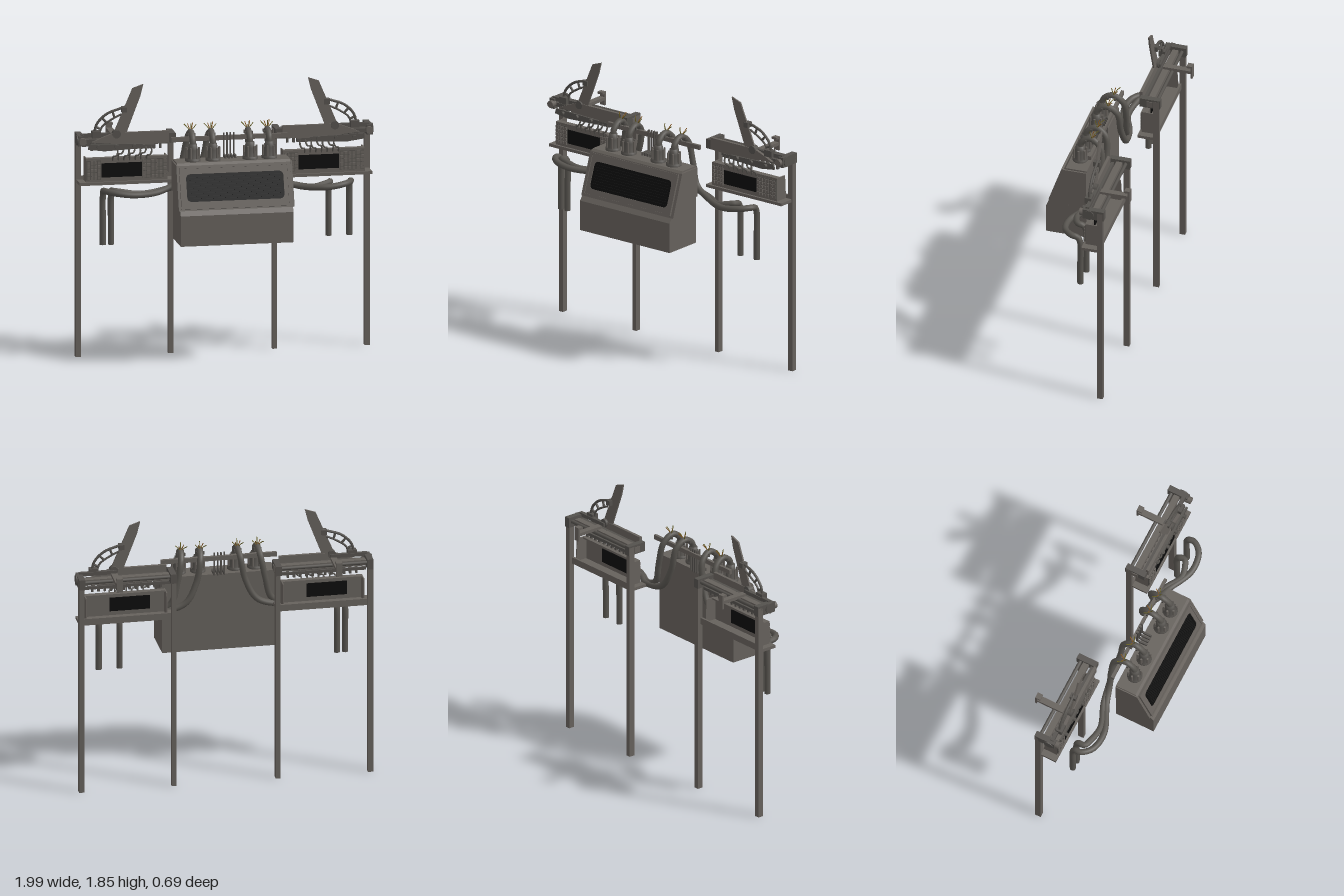
import * as THREE from 'three';

const mat = (name, color) => Object.assign(new THREE.MeshStandardMaterial({ color }), { name });

export function createModel() {
  const root = new THREE.Group();
  root.name = 'controlStation';
  const metal = mat('warm grey metal', 0x66615c);
  const dark = mat('dark grey metal', 0x54514d);
  const hoseMat = mat('hose grey', 0x585550);
  const black = mat('black screen', 0x0c0c0c);
  const grille = mat('charcoal grille', 0x1b1b1b);
  const copper = mat('copper wire', 0x8a5a22);
  const olive = mat('olive wire', 0x6b6428);

  const add = (parent, name, geo, m) => {
    const mesh = new THREE.Mesh(geo, m);
    mesh.name = name;
    parent.add(mesh);
    return mesh;
  };
  const group = (parent, name) => {
    const g = new THREE.Group();
    g.name = name;
    parent.add(g);
    return g;
  };
  // box given by its limits on each axis
  const box = (parent, name, m, x0, x1, y0, y1, z0, z1) => {
    const mesh = add(parent, name, new THREE.BoxGeometry(Math.abs(x1 - x0), y1 - y0, z1 - z0), m);
    mesh.position.set((x0 + x1) / 2, (y0 + y1) / 2, (z0 + z1) / 2);
    return mesh;
  };
  const tube = (parent, name, m, pts, r, seg = 24, sides = 8) => {
    const curve = new THREE.CatmullRomCurve3(pts.map(p => new THREE.Vector3(...p)));
    return add(parent, name, new THREE.TubeGeometry(curve, seg, r, sides), m);
  };
  const rod = (parent, name, m, r, len, x, y, z, axis) => {
    const c = add(parent, name, new THREE.CylinderGeometry(r, r, len, 14), m);
    if (axis === 'x') c.rotation.z = Math.PI / 2;
    if (axis === 'z') c.rotation.x = Math.PI / 2;
    c.position.set(x, y, z);
    return c;
  };
  const shapeOf = pts => new THREE.Shape(pts.map(p => new THREE.Vector2(...p)));
  const flat = depth => ({ depth, bevelEnabled: false, curveSegments: 6 });
  // side profile of [z, y] points, stretched along x
  const profileX = (parent, name, m, pts, x0, x1) => {
    const geo = new THREE.ExtrudeGeometry(shapeOf(pts), flat(x1 - x0));
    geo.rotateY(-Math.PI / 2).translate(x1, 0, 0);
    return add(parent, name, geo, m);
  };
  const rounded = (C, w, h, r) => {
    const s = new C(), x = w / 2, y = h / 2;
    s.absarc(x - r, y - r, r, 0, Math.PI / 2);
    s.absarc(r - x, y - r, r, Math.PI / 2, Math.PI);
    s.absarc(r - x, r - y, r, Math.PI, Math.PI * 1.5);
    s.absarc(x - r, r - y, r, Math.PI * 1.5, Math.PI * 2);
    return s;
  };

  // central console
  const con = group(root, 'console');
  profileX(con, 'consoleBody', metal, [[0.065, 0.835], [0.345, 0.835], [0.345, 1.04], [0.322, 1.07],
    [0.225, 1.355], [0.21, 1.37], [0.065, 1.37]], -0.385, 0.375);
  const shell = [[0.322, 1.07], [0.225, 1.36], [0.065, 1.36], [0.065, 1.16], [0.155, 1.16], [0.185, 1.09], [0.19, 1.07]];
  profileX(con, 'sideShell', metal, shell, -0.393, -0.384);
  profileX(con, 'sideShell', metal, shell, 0.374, 0.386);
  // sloping display
  const display = group(con, 'display');
  display.position.set(-0.006, 1.213, 0.2735);
  display.rotation.x = -0.328;
  const rim = rounded(THREE.Shape, 0.71, 0.26, 0.005);
  rim.holes.push(rounded(THREE.Path, 0.655, 0.185, 0.03));
  add(display, 'displayFrame', new THREE.ExtrudeGeometry(rim, flat(0.009)), metal);
  const edge = rounded(THREE.Shape, 0.74, 0.285, 0.005);
  edge.holes.push(rounded(THREE.Path, 0.71, 0.26, 0.005));
  add(display, 'displayEdge', new THREE.ExtrudeGeometry(edge, flat(0.014)), metal);
  add(display, 'screen', new THREE.ExtrudeGeometry(rounded(THREE.Shape, 0.655, 0.185, 0.03), flat(0.004)), black);
  for (let i = -4; i <= 4; i++) box(display, 'screenSlat', grille, -0.31, 0.31, i * 0.018 - 0.001, i * 0.018 + 0.001, 0.003, 0.006);

  // rear cross rail and centre posts
  box(root, 'rearRail', metal, -0.39, 0.39, 1.48, 1.51, 0.03, 0.05);
  for (const x of [-0.04, -0.017, 0.005, 0.028]) {
    box(root, 'centrePost', dark, x - 0.004, x + 0.004, 1.37, 1.53, 0.04, 0.055);
    box(root, 'postFoot', dark, x - 0.006, x + 0.006, 1.37, 1.39, 0.055, 0.12);
  }

  // hose: connector x, end x, forward bulge
  const hose = (a, e, bulge) => {
    const s = Math.sign(a), far = Math.abs(a) > 0.2;
    const at = t => s * 0.45 + (e - s * 0.45) * t;
    const g = group(root, 'hoseAssembly');
    const socket = new THREE.LatheGeometry([[0.052, 0], [0.052, 0.018], [0.04, 0.022], [0.036, 0.075],
      [0.03, 0.08], [0.028, 0.115], [0, 0.115]].map(p => new THREE.Vector2(...p)), 16);
    add(g, 'hoseSocket', socket, dark).position.set(a, 1.368, 0.145);
    for (let i = 0; i < 6; i++) {
      const w = i / 6 * Math.PI * 2;
      rod(g, 'socketClamp', metal, 0.007, 0.09, a + 0.042 * Math.cos(w), 1.415, 0.145 + 0.042 * Math.sin(w));
    }
    tube(g, 'hose', hoseMat, [[a, 1.45, 0.145], [a, 1.51, 0.135], [a, 1.55, 0.075], [a + s * 0.01, 1.5, 0.005],
      [a + s * 0.04, 1.35, -0.01], [a + s * (far ? 0.08 : 0.12), 1.21, far ? 0 : -0.02],
      [s * 0.45, 1.15, far ? 0.03 : 0.01], [at(0.5), 1.145, bulge], [at(0.85), 1.16, bulge - 0.015],
      [e, 1.165, 0.035], [e, 1.155, -0.005], [e, 1.11, -0.022], [e, 0.95, -0.022], [e, 0.79, -0.022]], 0.021, 90, 10);
    for (const z of [0.1, 0.05]) box(g, 'hoseClip', dark, a - 0.026, a + 0.026, 1.525, 1.545, z - 0.006, z + 0.006);
    // frayed wires on the crest
    for (let i = 0; i < 5; i++) {
      const d = (i - 2) * 0.012;
      tube(g, 'looseWire', i % 2 ? copper : olive, [[a + d * 0.3, 1.56, 0.06], [a + d, 1.58, 0.05 + (i % 3) * 0.012],
        [a + d * 1.6, 1.61 - Math.abs(d) * 0.6, 0.03 + (i % 3) * 0.025]], 0.003, 5, 5);
    }
  };
  hose(-0.265, -0.84, 0.11);
  hose(-0.13, -0.785, 0.07);
  hose(0.12, 0.68, 0.07);
  hose(0.25, 0.82, 0.11);

  // keypad panel, open at the back; pads and screen measured from its left edge
  const keypad = (g, x0, x1, cols) => {
    const w = (x1 - x0) / cols;
    box(g, 'keypadBase', dark, x0, x1, 1.215, 1.345, -0.09, -0.086);
    for (let c = 0; c < cols; c++) for (let r = 0; r < 5; r++)
      box(g, 'key', metal, x0 + c * w + 0.003, x0 + (c + 1) * w - 0.003, 1.218 + r * 0.0255, 1.238 + r * 0.0255, -0.087, -0.079);
  };
  const panel = x => {
    const g = group(root, 'keypadPanel');
    box(g, 'panelFace', metal, x, x + 0.55, 1.2, 1.36, -0.1, -0.09);
    box(g, 'panelTop', metal, x, x + 0.55, 1.35, 1.36, -0.13, -0.1);
    for (const e of [x, x + 0.542])
      profileX(g, 'panelCheek', metal, [[-0.185, 1.2], [-0.1, 1.2], [-0.1, 1.36], [-0.175, 1.36]], e, e + 0.008);
    box(g, 'panelScreen', black, x + 0.105, x + 0.375, 1.23, 1.325, -0.09, -0.083);
    box(g, 'panelScreenBack', black, x + 0.105, x + 0.375, 1.23, 1.325, -0.106, -0.1);
    keypad(g, x + 0.005, x + 0.1, 4);
    keypad(g, x + 0.38, x + 0.545, 6);
  };
  panel(-0.94);
  panel(0.387);

  // mirrored side frames
  for (const s of [-1, 1]) {
    const g = group(root, s > 0 ? 'leftFrame' : 'rightFrame');
    const b = (name, m, x0, x1, ...r) => box(g, name, m, s * x0, s * x1, ...r);
    const plate = (name, m, pts, z, d) =>
      add(g, name, new THREE.ExtrudeGeometry(shapeOf(pts.map(p => [s * p[0], p[1]])), flat(d)), m).position.set(0, 0, z);
    const pipe = (name, m, pts, r) => tube(g, name, m, pts.map(p => [s * p[0], p[1], p[2]]), r, 16, 7);
    b('outerLeg', metal, 0.955, 0.99, 0, 1.5, -0.225, -0.185);
    b('innerLeg', metal, 0.334, 0.366, 0, 1.5, -0.225, -0.185);
    b('shelf', metal, 0.345, 0.985, 1.18, 1.2, -0.188, -0.075);
    b('shelfLip', metal, 0.366, 0.955, 1.18, 1.225, -0.2, -0.186);
    b('topRail', metal, 0.33, 0.985, 1.455, 1.495, -0.182, -0.14);
    b('frontRail', dark, 0.36, 0.97, 1.46, 1.485, -0.125, -0.105);
    rod(g, 'rearRod', dark, 0.012, 0.6, s * 0.66, 1.485, -0.203, 'x');
    b('rearStrip', dark, 0.37, 0.95, 1.425, 1.445, -0.18, -0.165);
    // end fittings
    b('endBlock', dark, 0.95, 0.99, 1.445, 1.515, -0.232, -0.085);
    b('innerEndBlock', dark, 0.335, 0.375, 1.445, 1.51, -0.232, -0.09);
    rod(g, 'endKnob', dark, 0.035, 0.03, s * 0.982, 1.48, -0.13, 'x');
    rod(g, 'endHub', metal, 0.024, 0.04, s * 0.965, 1.48, -0.08, 'z');
    // swing arm plates
    plate('armPlate', metal, [[0.38, 1.53], [0.75, 1.53], [0.83, 1.5], [0.9, 1.47], [0.6, 1.44], [0.38, 1.45]], -0.1, 0.02);
    plate('lowerLink', dark, [[0.56, 1.45], [0.92, 1.46], [0.93, 1.425], [0.82, 1.41], [0.58, 1.42]], -0.08, 0.012);
    b('topStrip', dark, 0.72, 0.97, 1.5, 1.525, -0.125, -0.1);
    for (const x of [0.62, 0.74, 0.86]) rod(g, 'linkPin', dark, 0.013, 0.03, s * x, 1.44, -0.065, 'z');
    rod(g, 'flapPivot', dark, 0.028, 0.04, s * 0.735, 1.52, -0.095, 'z');
    // raised flap and its curved stays
    plate('flap', metal, [[0.757, 1.52], [0.67, 1.52], [0.575, 1.77], [0.555, 1.85], [0.627, 1.825]], -0.097, 0.011);
    pipe('upperStay', dark, [[0.885, 1.51, -0.1], [0.865, 1.59, -0.1], [0.8, 1.655, -0.1], [0.72, 1.685, -0.1], [0.67, 1.7, -0.1]], 0.009);
    pipe('lowerStay', dark, [[0.85, 1.51, -0.1], [0.83, 1.57, -0.1], [0.77, 1.615, -0.1], [0.7, 1.65, -0.1]], 0.007);
    for (const p of [[0.872, 1.57, 0.837, 1.555], [0.83, 1.63, 0.8, 1.597], [0.76, 1.672, 0.745, 1.63]])
      pipe('stayLink', dark, [[p[0], p[1], -0.1], [p[2], p[3], -0.1]], 0.008);
    b('stayBracket', dark, 0.665, 0.7, 1.665, 1.7, -0.12, -0.075);
    b('stayFoot', dark, 0.84, 0.9, 1.5, 1.545, -0.12, -0.075);
    // small looped cables above the keypad
    for (let i = 0; i < 7; i++) {
      const x = 0.5 + i * 0.038, h = 1.375 + (i % 2) * 0.015;
      pipe('smallCable', hoseMat, [[x, 1.43, -0.09], [x, h + 0.02, -0.08], [x + 0.012, h, -0.075], [x + 0.03, h - 0.005, -0.08], [x + 0.032, 1.34, -0.095]], 0.006);
    }
    for (let i = 0; i < 12; i++) b('rearTooth', dark, 0.42 + i * 0.042, 0.435 + i * 0.042, 1.4, 1.455, -0.165, -0.145);
    b('cableStrip', dark, 0.48, 0.8, 1.415, 1.44, -0.12, -0.085);
    // rear hook bracket
    b('bracketArm', metal, 0.718, 0.76, 1.49, 1.512, -0.34, -0.14);
    b('bracketPlate', metal, 0.718, 0.76, 1.455, 1.55, -0.343, -0.33);
    b('bracketLip', metal, 0.718, 0.76, 1.535, 1.55, -0.343, -0.305);
  }
  return root;
}
